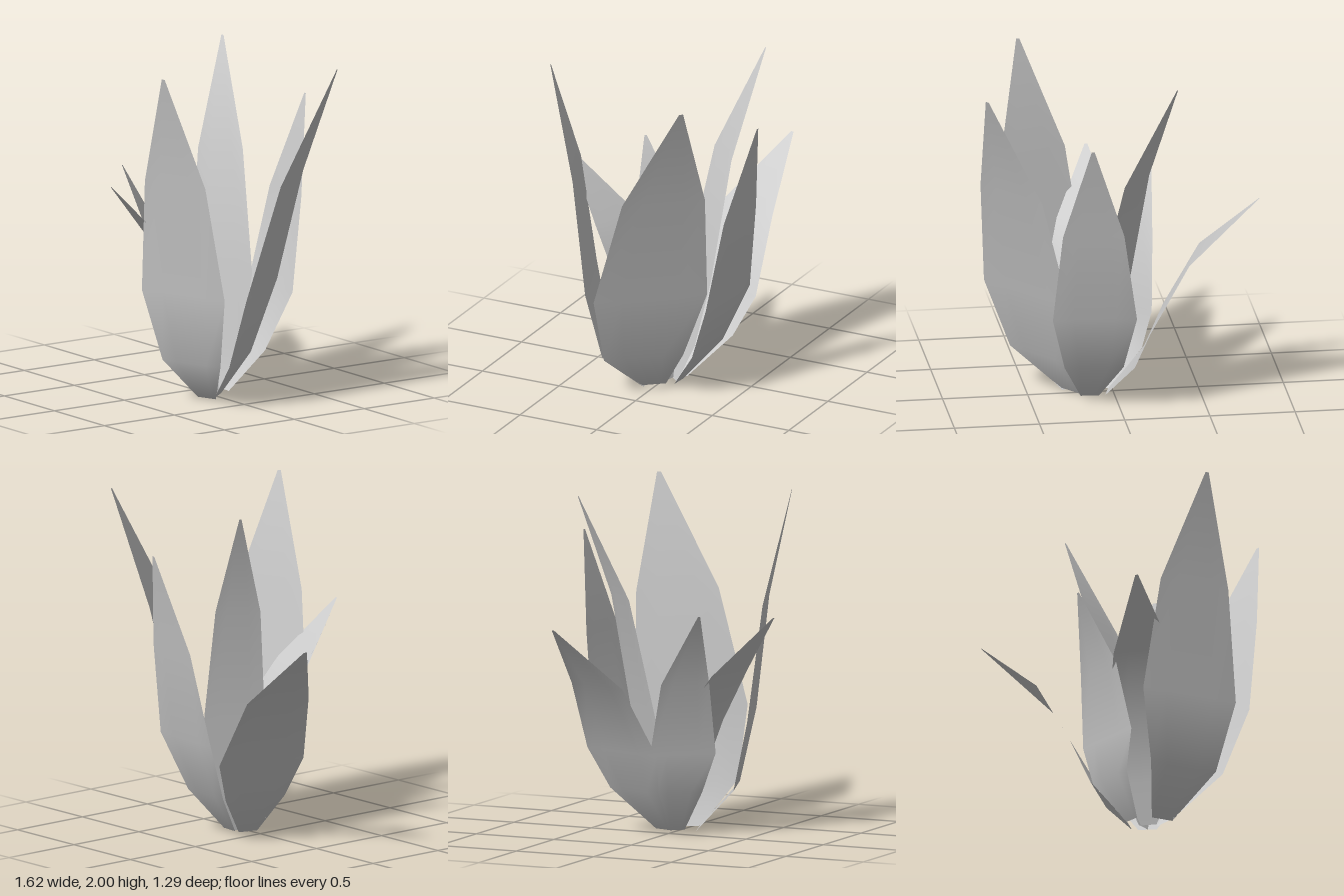
import * as THREE from 'three';

const COLUMNS = 4;
// Share of the full leaf width at each height, from base to tip
const WIDTHS = [0.22, 0.7, 1, 0.73, 0.035];
const material = new THREE.MeshStandardMaterial({ color: 0xcccccc, side: THREE.DoubleSide });

// One blade: a spine of [x, y, z] points widened sideways; facing is in degrees, 0 = front, 90 = left
function makeLeaf(name, facing, width, spine) {
  const angle = THREE.MathUtils.degToRad(facing);
  const positions = [];
  const index = [];
  spine.forEach(([x, y, z], row) => {
    for (let c = 0; c <= COLUMNS; c++) {
      const side = (c / COLUMNS - 0.5) * width * WIDTHS[row];
      positions.push(x + side * Math.cos(angle), y, z - side * Math.sin(angle));
      if (row === 0 || c === 0) continue;
      const d = row * (COLUMNS + 1) + c;
      const b = d - COLUMNS - 1;
      index.push(b - 1, b, d, b - 1, d, d - 1);
    }
  });
  const geometry = new THREE.BufferGeometry();
  geometry.setAttribute('position', new THREE.Float32BufferAttribute(positions, 3));
  geometry.setIndex(index);
  geometry.computeVertexNormals();
  const mesh = new THREE.Mesh(geometry, material);
  mesh.name = name;
  return mesh;
}

export function createModel() {
  const plant = new THREE.Group();
  plant.name = 'leafCluster';

  // Three tall leaves
  plant.add(
    makeLeaf('frontTallLeaf', 20.5, 0.58,
      [[0.23, 0, 0.075], [0.35, 0.25, 0.27], [0.383, 0.67, 0.352], [0.41, 1.345, 0.43], [0.48, 2, 0.565]]),
    makeLeaf('leftTallLeaf', 129, 0.675,
      [[0.25, 0.01, 0.01], [0.432, 0.25, -0.018], [0.523, 0.67, -0.108], [0.63, 1.335, -0.248], [0.8, 1.99, -0.45]]),
    makeLeaf('rightTallLeaf', -131, 0.358,
      [[0.128, 0.01, -0.065], [0.078, 0.26, -0.118], [0.028, 0.675, -0.175], [-0.105, 1.385, -0.262], [-0.32, 2, -0.43]]),
  );

  // Back leaf and the short outer leaves
  plant.add(
    makeLeaf('backLeaf', 175.4, 0.49,
      [[0.15, 0.015, -0.105], [0.15, 0.255, -0.29], [0.165, 0.6, -0.43], [0.185, 1.15, -0.52], [0.205, 1.72, -0.645]]),
    makeLeaf('rightSpreadingLeaf', -106, 0.54,
      [[0.045, 0.015, -0.055], [-0.135, 0.26, -0.155], [-0.23, 0.5, -0.19], [-0.443, 0.91, -0.248], [-0.81, 1.28, -0.355]]),
    makeLeaf('rightFrontLeaf', -47, 0.4,
      [[0.055, 0.015, 0.03], [-0.075, 0.255, 0.105], [-0.09, 0.485, 0.135], [-0.142, 0.91, 0.175], [-0.265, 1.33, 0.325]]),
    makeLeaf('frontLeaningLeaf', -11.5, 0.47,
      [[0.15, 0.015, -0.04], [0.15, 0.255, 0.02], [0.15, 0.625, 0.12], [0.11, 0.95, 0.34], [0.068, 1.3, 0.645]]),
  );
  return plant;
}
